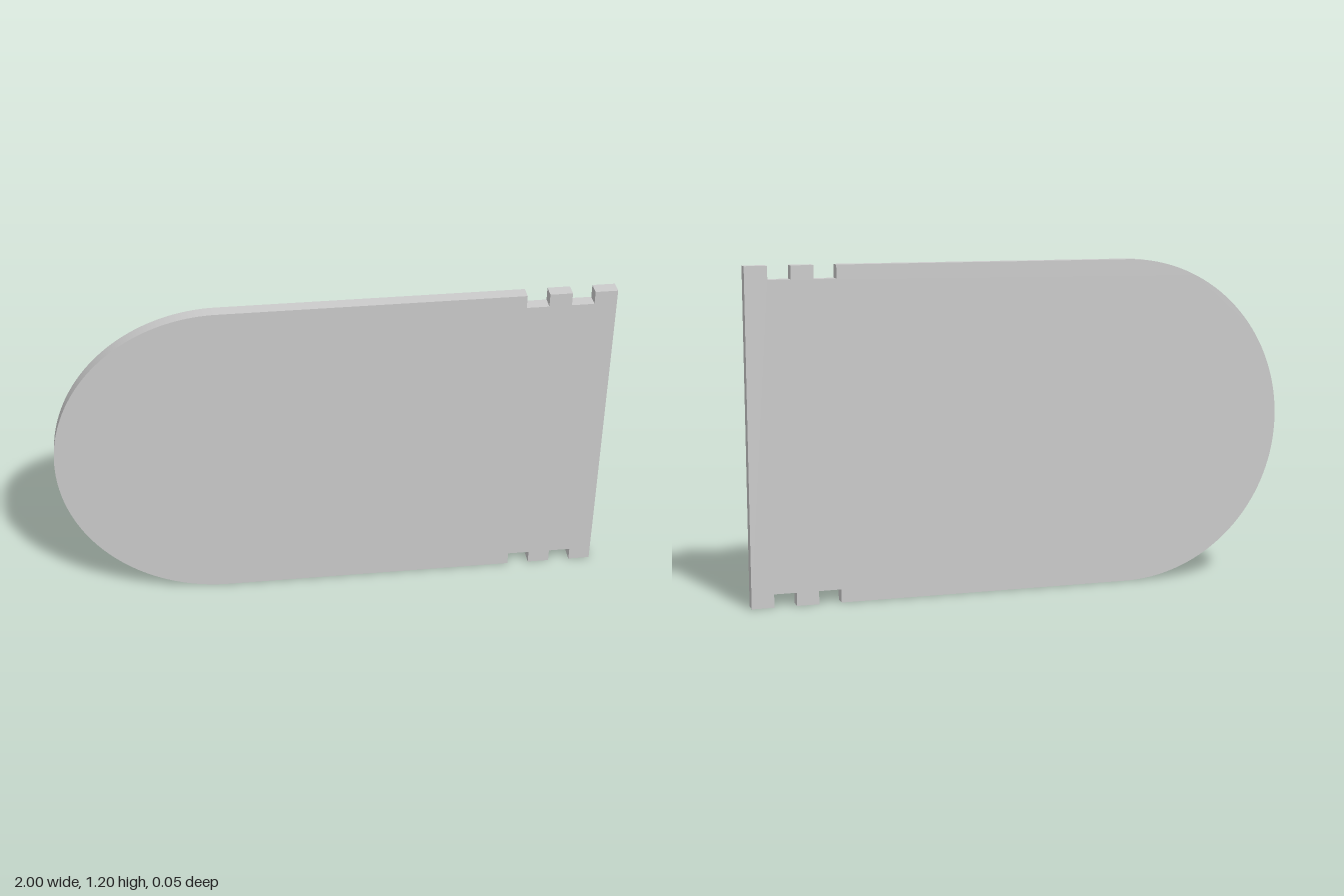
import * as THREE from 'three';
import { toCreasedNormals } from 'three/addons/utils/BufferGeometryUtils.js';

const HEIGHT = 1.2;
const RADIUS = HEIGHT / 2;
const THICKNESS = 0.048;
const NOTCH_DEPTH = 0.048;
const NOTCHES = [[0.68, 0.76], [0.84, 0.92]]; // x ranges, cut into both long edges

// Outline: straight right end, notched long edges, half-round left end
function panelOutline() {
  const shape = new THREE.Shape();
  const arcX = -1 + RADIUS;
  shape.moveTo(arcX, 0);
  for (const [a, b] of NOTCHES) {
    shape.lineTo(a, 0);
    shape.lineTo(a, NOTCH_DEPTH);
    shape.lineTo(b, NOTCH_DEPTH);
    shape.lineTo(b, 0);
  }
  shape.lineTo(1, 0);
  shape.lineTo(1, HEIGHT);
  for (const [a, b] of [...NOTCHES].reverse()) {
    shape.lineTo(b, HEIGHT);
    shape.lineTo(b, HEIGHT - NOTCH_DEPTH);
    shape.lineTo(a, HEIGHT - NOTCH_DEPTH);
    shape.lineTo(a, HEIGHT);
  }
  shape.lineTo(arcX, HEIGHT);
  shape.absarc(arcX, RADIUS, RADIUS, Math.PI / 2, Math.PI * 1.5, false);
  return shape;
}

export function createModel() {
  const group = new THREE.Group();
  group.name = 'notchedPanel';

  // Flat panel, centred on z, with a smooth round rim and sharp edges
  const geometry = new THREE.ExtrudeGeometry(panelOutline(), {
    depth: THICKNESS,
    bevelEnabled: false,
    curveSegments: 48,
  });
  geometry.translate(0, 0, -THICKNESS / 2);
  const panel = new THREE.Mesh(
    toCreasedNormals(geometry, Math.PI / 6),
    new THREE.MeshStandardMaterial({ color: 0xcccccc })
  );
  panel.name = 'panel';
  group.add(panel);
  return group;
}
